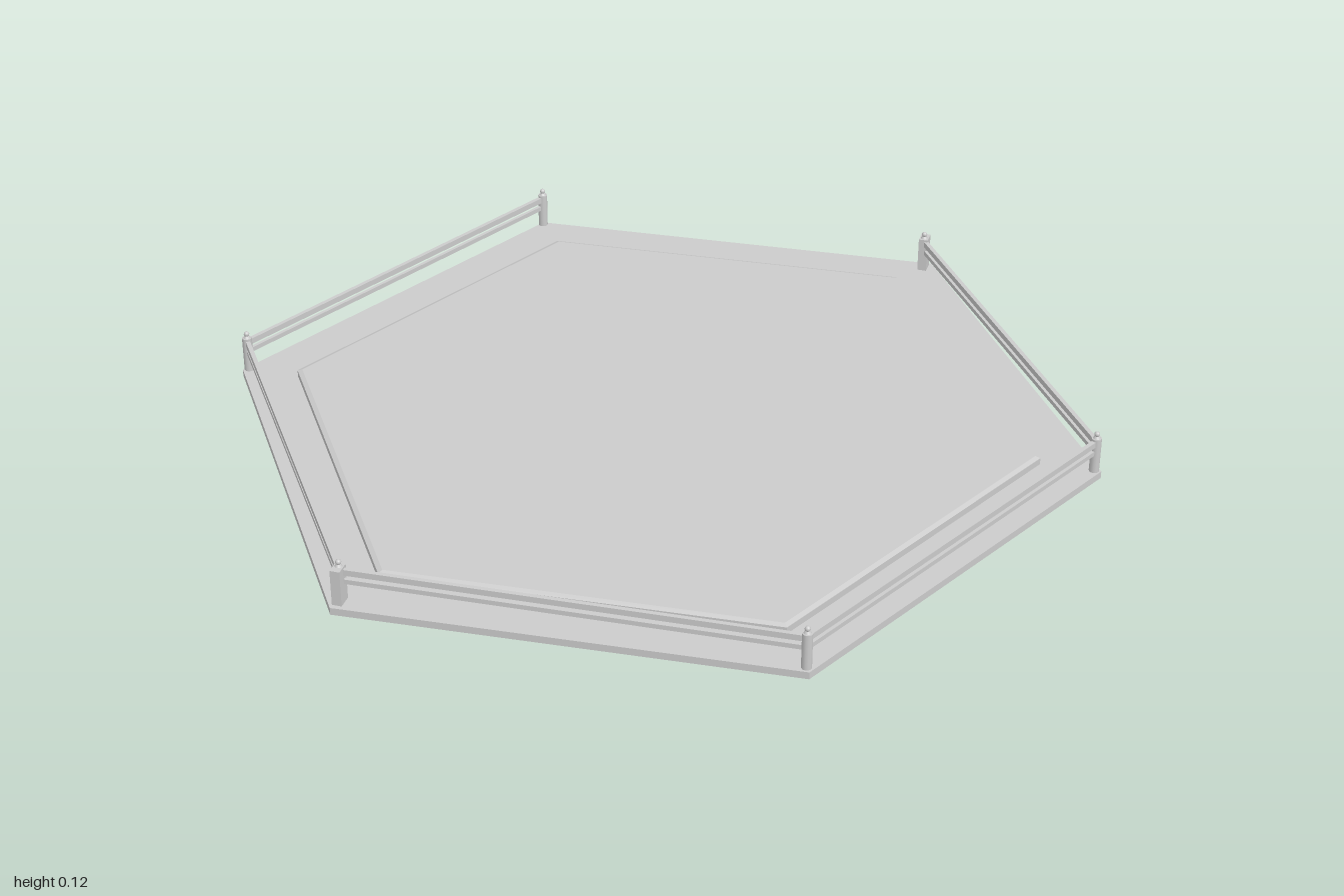
import * as THREE from 'three';

const TURN = THREE.MathUtils.degToRad(34.6);
const mat = new THREE.MeshStandardMaterial({ color: 0xcccccc });
const flat = new THREE.MeshStandardMaterial({ color: 0xcccccc, flatShading: true });

function add(parent, name, geometry, material, x = 0, y = 0, z = 0) {
  const mesh = new THREE.Mesh(geometry, material);
  mesh.name = name;
  mesh.position.set(x, y, z);
  parent.add(mesh);
  return mesh;
}

// six-sided slab standing between two heights
function hexSlab(parent, name, topR, bottomR, y0, y1) {
  const geometry = new THREE.CylinderGeometry(topR, bottomR, y1 - y0, 6);
  add(parent, name, geometry, flat, 0, (y0 + y1) / 2, 0).rotation.y = TURN;
}

// horizontal bar between two posts
function rail(parent, name, a, b, y, height, depth) {
  const dx = b[0] - a[0], dz = b[1] - a[1];
  const bar = add(parent, name, new THREE.BoxGeometry(Math.hypot(dx, dz), height, depth), mat,
    (a[0] + b[0]) / 2, y, (a[1] + b[1]) / 2);
  bar.rotation.y = -Math.atan2(dz, dx);
}

export function createModel() {
  const group = new THREE.Group();

  // floor, raised platform and its small bevel
  hexSlab(group, 'floor', 1.004, 1.004, 0, 0.017);
  hexSlab(group, 'platform', 0.868, 0.868, 0.017, 0.033);
  hexSlab(group, 'platformBevel', 0.856, 0.868, 0.033, 0.037);

  // corner posts, walked from one end of the open back edge to the other
  const corners = [[0.415, -0.878], [0.984, -0.08], [0.56, 0.811],
    [-0.42, 0.873], [-0.987, 0.073], [-0.567, -0.817]];
  corners.forEach(([x, z], i) => {
    const post = new THREE.Group();
    post.name = 'post' + (i + 1);
    post.position.set(x, 0, z);
    // two of the posts are broader, set towards the rim
    if (i === 0 || i === 3) {
      add(post, 'postShaft', new THREE.BoxGeometry(0.022, 0.086, 0.034), mat, 0, 0.059, Math.sign(z) * 0.005);
    } else {
      add(post, 'postShaft', new THREE.CylinderGeometry(0.0115, 0.0115, 0.086, 12), mat, 0, 0.059, 0);
    }
    add(post, 'postNeck', new THREE.CylinderGeometry(0.004, 0.009, 0.008, 12), mat, 0, 0.105, 0);
    add(post, 'postKnob', new THREE.SphereGeometry(0.0065, 12, 8), mat, 0, 0.112, 0);
    group.add(post);
  });

  // upper and lower rails on the five fenced edges
  for (let i = 0; i < 5; i++) {
    rail(group, 'upperRail', corners[i], corners[i + 1], 0.09, 0.014, 0.01);
    rail(group, 'lowerRail', corners[i], corners[i + 1], 0.067, 0.011, 0.008);
  }
  return group;
}
